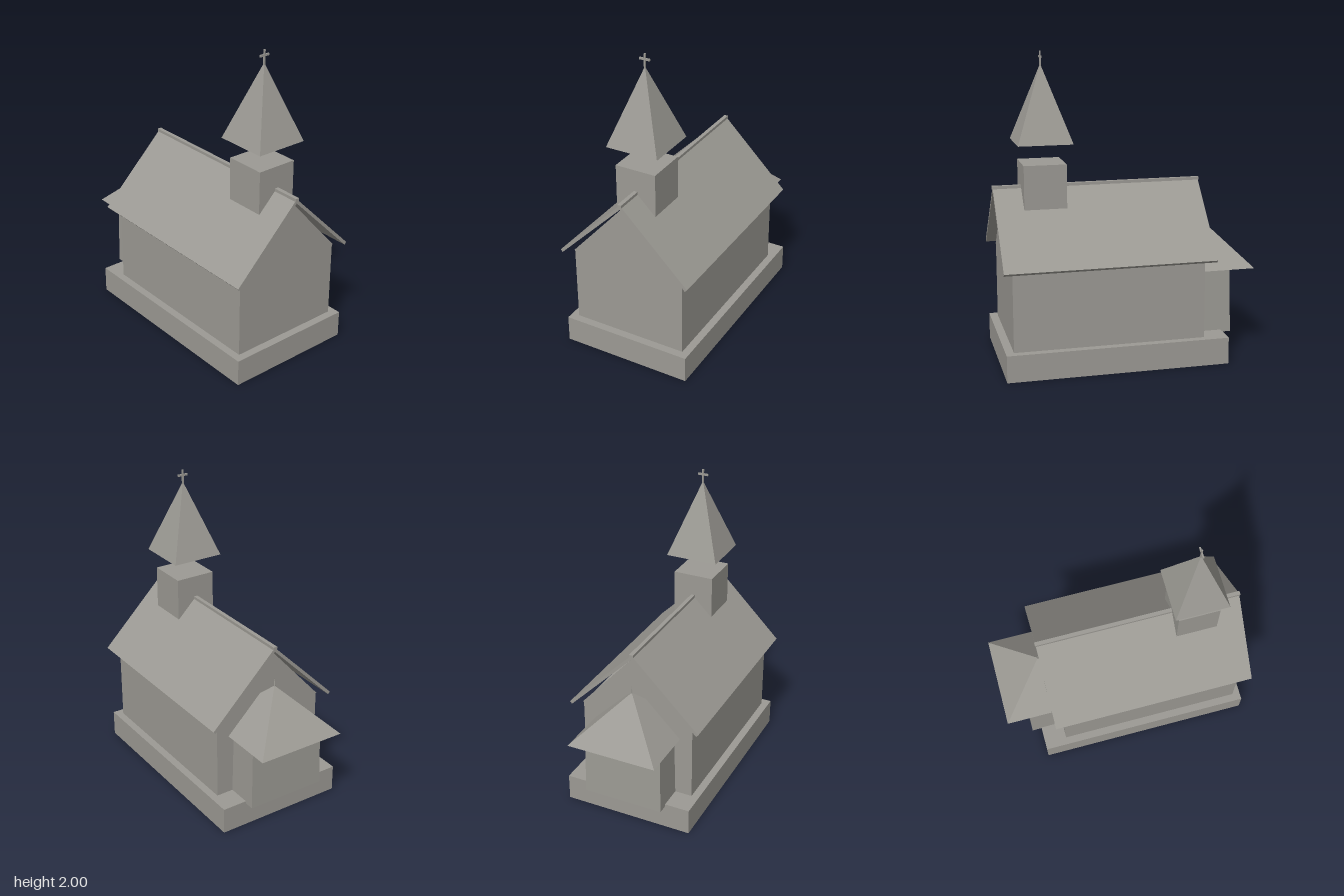
import * as THREE from 'three';

export function createModel() {
  const model = new THREE.Group();
  const stone = new THREE.MeshStandardMaterial({ color: 0x9c9a94, flatShading: true });
  stone.name = 'stone grey';

  const add = (name, geometry) => {
    const mesh = new THREE.Mesh(geometry, stone);
    mesh.name = name;
    model.add(mesh);
    return mesh;
  };
  // Box given by its limits on each axis
  const block = (name, x0, x1, y0, y1, z0, z1) =>
    add(name, new THREE.BoxGeometry(x1 - x0, y1 - y0, z1 - z0))
      .position.set((x0 + x1) / 2, (y0 + y1) / 2, (z0 + z1) / 2);
  // Front-facing outline extruded from z0 to z1
  const prism = (name, points, z0, z1) => {
    const shape = new THREE.Shape(points.map(([x, y]) => new THREE.Vector2(x, y)));
    add(name, new THREE.ExtrudeGeometry(shape, { depth: z1 - z0, bevelEnabled: false }))
      .position.z = z0;
  };
  // Square pyramid with sides along x and z
  const pyramid = (name, half, y0, y1, z) =>
    add(name, new THREE.ConeGeometry(half * Math.SQRT2, y1 - y0, 4).rotateY(Math.PI / 4))
      .position.set(0, (y0 + y1) / 2, z);

  // Plinth and nave
  block('plinth', -0.435, 0.435, 0, 0.175, -0.617, 0.82);
  block('naveWalls', -0.385, 0.385, 0.17, 0.682, -0.465, 0.768);

  // Gable panels at both ends
  const gable = [[-0.392, 0.68], [0.392, 0.68], [0, 1.117]];
  prism('frontGable', gable, 0.738, 0.769);
  prism('backGable', gable, -0.466, -0.435);

  // Roof slopes and ridge
  for (const [side, s] of [['left', 1], ['right', -1]]) {
    const slab = [[0, 1.15], [0.452, 0.7], [0.438, 0.685], [0, 1.122]];
    prism(side + 'RoofSlope', slab.map(([x, y]) => [s * x, y]), -0.527, 0.828);
  }
  block('roofRidge', -0.013, 0.013, 1.136, 1.156, -0.532, 0.833);

  // Bell tower, spire and cross
  block('bellTower', -0.137, 0.137, 1.018, 1.3, 0.375, 0.648);
  pyramid('spire', 0.175, 1.43, 1.92, 0.512);
  block('crossUpright', -0.005, 0.005, 1.89, 2, 0.507, 0.517);
  block('crossArm', -0.035, 0.035, 1.958, 1.971, 0.507, 0.517);

  // Apse walls, narrowing slightly upwards
  const apse = new THREE.BoxGeometry(0.54, 0.43, 0.24);
  const p = apse.attributes.position;
  for (let i = 0; i < p.count; i++) {
    if (p.getY(i) < 0) continue;
    p.setX(i, p.getX(i) * 0.965);
    if (p.getZ(i) < 0) p.setZ(i, p.getZ(i) + 0.01);
  }
  apse.computeVertexNormals();
  add('apseWalls', apse).position.set(0, 0.375, -0.563);

  // Apse roof with finial
  pyramid('apseRoof', 0.3, 0.588, 0.888, -0.53);
  add('apseFinial', new THREE.ConeGeometry(0.008, 0.085, 4)).position.set(0, 0.905, -0.53);

  return model;
}
